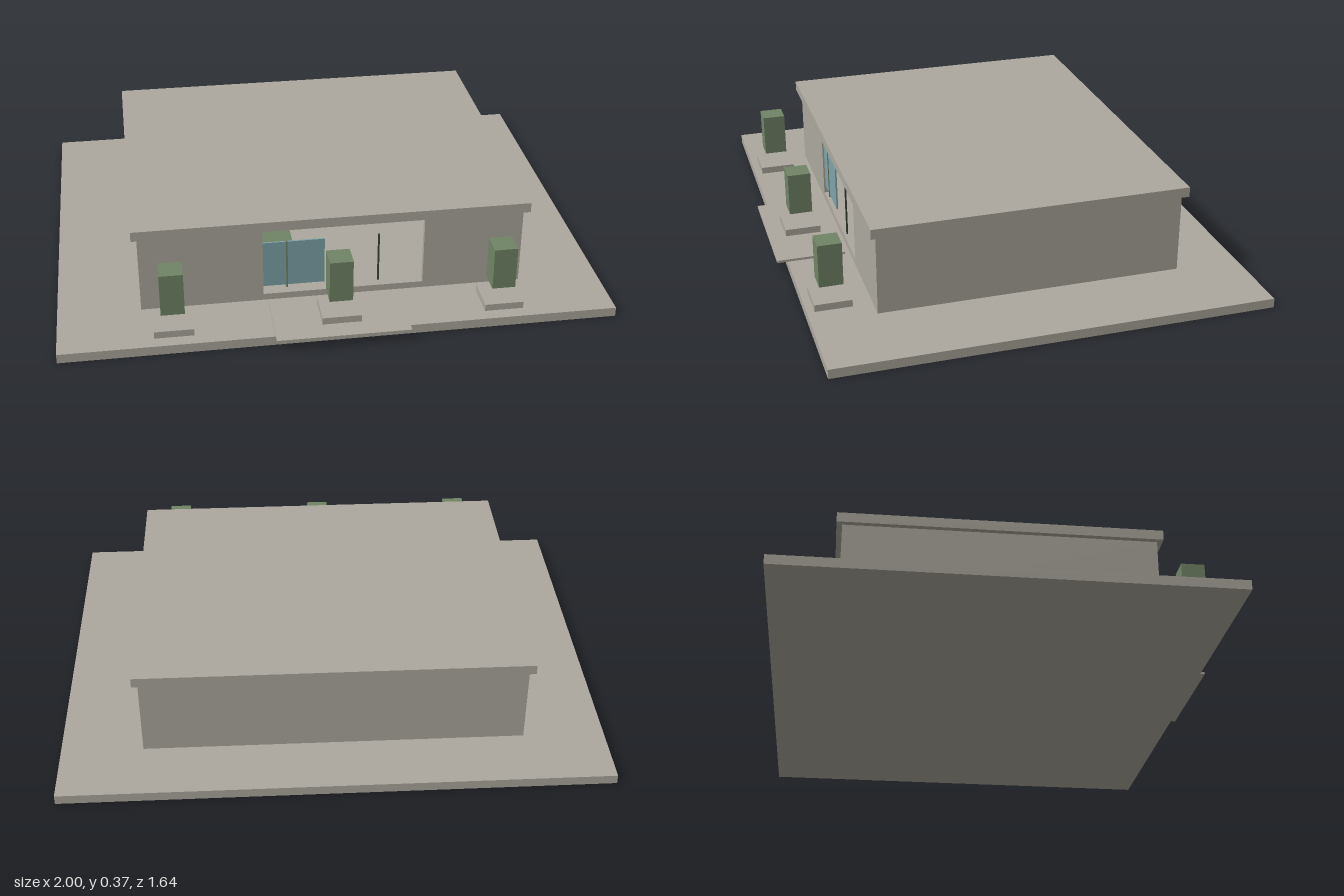
import * as THREE from 'three';

const mat = (name, color) => {
  const m = new THREE.MeshStandardMaterial({ color });
  m.name = name;
  return m;
};

export function createModel() {
  const model = new THREE.Group();
  model.name = 'pavilion';
  const concrete = mat('concrete', 0xaca89e);
  const green = mat('leafGreen', 0x718566);
  const glass = mat('blueGlass', 0x7ea4aa);
  const dark = mat('darkGreen', 0x3a4434);

  // Box given by its minimum and maximum along each axis
  const box = (name, material, [x0, x1], [y0, y1], [z0, z1], parent = model) => {
    const mesh = new THREE.Mesh(new THREE.BoxGeometry(x1 - x0, y1 - y0, z1 - z0), material);
    mesh.position.set((x0 + x1) / 2, (y0 + y1) / 2, (z0 + z1) / 2);
    mesh.name = name;
    parent.add(mesh);
    return mesh;
  };

  // Ground slab and entrance path, which juts past the front edge
  box('groundSlab', concrete, [-1, 1], [0, 0.035], [-0.82, 0.78]);
  box('entrancePath', concrete, [-0.24, 0.24], [0.035, 0.044], [0.565, 0.82]);

  // Hollow building with a wide opening in the front
  const wallY = [0.035, 0.335];
  box('floor', concrete, [-0.68, 0.68], [0.035, 0.06], [-0.56, 0.545]);
  box('backWall', concrete, [-0.7, 0.7], wallY, [-0.58, -0.56]);
  box('rightWall', concrete, [-0.7, -0.68], wallY, [-0.56, 0.545]);
  box('leftWall', concrete, [0.68, 0.7], wallY, [-0.56, 0.545]);
  box('frontWallRight', concrete, [-0.68, -0.255], wallY, [0.525, 0.545]);
  box('frontWallLeft', concrete, [0.335, 0.68], wallY, [0.525, 0.545]);
  box('roof', concrete, [-0.72, 0.72], [0.335, 0.372], [-0.6, 0.565]);

  // Glass front and the two slim uprights
  box('glassPane', glass, [-0.255, -0.03], [0.09, 0.272], [0.533, 0.539]);
  for (const x of [-0.168, 0.168]) {
    box('upright', x < 0 ? green : dark, [x - 0.003, x + 0.003], [0.08, 0.275], [0.536, 0.542]);
  }

  // Furniture inside
  box('bench', green, [-0.4, -0.115], [0.07, 0.118], [0.08, 0.29]);
  for (const y of [0.093, 0.138]) {
    box('shelf', dark, [-0.15, 0.168], [y, y + 0.009], [-0.3, -0.15]);
  }
  box('shelfLeg', concrete, [-0.025, -0.015], [0.06, 0.138], [-0.23, -0.22]);
  box('counter', concrete, [0.25, 0.45], [0.06, 0.122], [-0.4, -0.2]);
  box('post', concrete, [0.273, 0.29], [0.06, 0.28], [-0.2, -0.183]);

  // Row of three planters with block-shaped shrubs hovering above
  for (const x of [-0.592, 0, 0.588]) {
    const planter = new THREE.Group();
    planter.name = 'planter';
    planter.position.set(x, 0, 0.69);
    box('planterSlab', concrete, [-0.07, 0.07], [0.053, 0.079], [-0.067, 0.067], planter);
    box('shrub', green, [-0.042, 0.042], [0.13, 0.29], [-0.043, 0.043], planter);
    model.add(planter);
  }

  return model;
}
